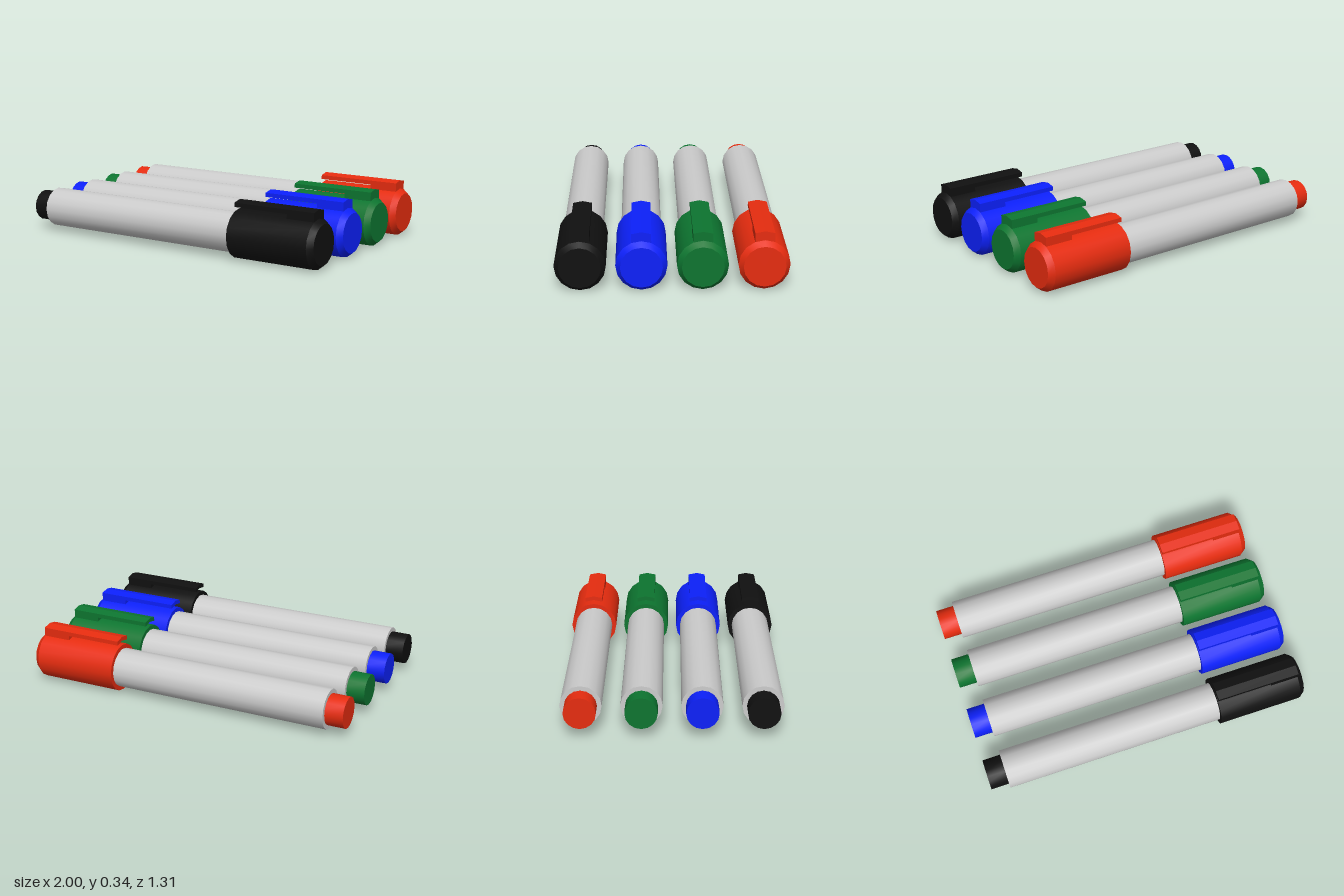
import * as THREE from 'three';
import { toCreasedNormals } from 'three/addons/utils/BufferGeometryUtils.js';

const SIDES = 16, CAP_R = 0.144, AXIS_Y = 0.147;

// Solid of revolution along x from [x, radius] pairs
function turned(profile) {
  const pts = profile.map(([x, r]) => new THREE.Vector2(r, x));
  const geo = new THREE.LatheGeometry(pts, SIDES);
  geo.rotateZ(-Math.PI / 2);
  return toCreasedNormals(geo, 0.6);
}

// Ridge that repeats the two top facets of the cap, raised from y0 to y1
function ridge(x0, x1, y0, y1) {
  const w = CAP_R * Math.sin(Math.PI / 8);
  const drop = CAP_R * (1 - Math.cos(Math.PI / 8));
  const shape = new THREE.Shape([
    [-w, y0 - drop], [0, y0], [w, y0 - drop],
    [w, y1 - drop], [0, y1], [-w, y1 - drop],
  ].map(([x, y]) => new THREE.Vector2(x, y)));
  const geo = new THREE.ExtrudeGeometry(shape, { depth: x1 - x0, bevelEnabled: false });
  geo.rotateY(Math.PI / 2);
  geo.translate(x0, 0, 0);
  return geo;
}

export function createModel() {
  const root = new THREE.Group();
  root.name = 'markerSet';
  const grey = new THREE.MeshStandardMaterial({ color: 0xcccccc });

  const barrelGeo = turned([[-0.89, 0], [-0.89, 0.118], [0.46, 0.118], [0.46, 0]]);
  const plugGeo = turned([[-1, 0], [-1, 0.092], [-0.88, 0.092]]);
  const capGeo = turned([[0.453, 0], [0.453, CAP_R], [0.967, CAP_R], [1, 0.118], [1, 0]]);
  const clipGeo = ridge(0.453, 0.967, 0.171, 0.196);
  const bridgeGeo = ridge(0.795, 0.967, 0.14, 0.171);

  const pens = [
    ['black', 0x101010, 0.51],
    ['blue', 0x0c20fa, 0.17],
    ['green', 0x0d7530, -0.17],
    ['red', 0xe62c0f, -0.51],
  ];
  for (const [name, color, z] of pens) {
    const pen = new THREE.Group();
    pen.name = name + 'Marker';
    pen.position.set(0, AXIS_Y, z);
    const ink = new THREE.MeshStandardMaterial({ color });
    const add = (part, geo, mat) => {
      const mesh = new THREE.Mesh(geo, mat);
      mesh.name = part;
      pen.add(mesh);
    };
    add('barrel', barrelGeo, grey);
    add('endPlug', plugGeo, ink);
    add('cap', capGeo, ink);
    // Clip bar floats over the cap and is joined near its tip
    add('clip', clipGeo, ink);
    add('clipBridge', bridgeGeo, ink);
    root.add(pen);
  }
  return root;
}
